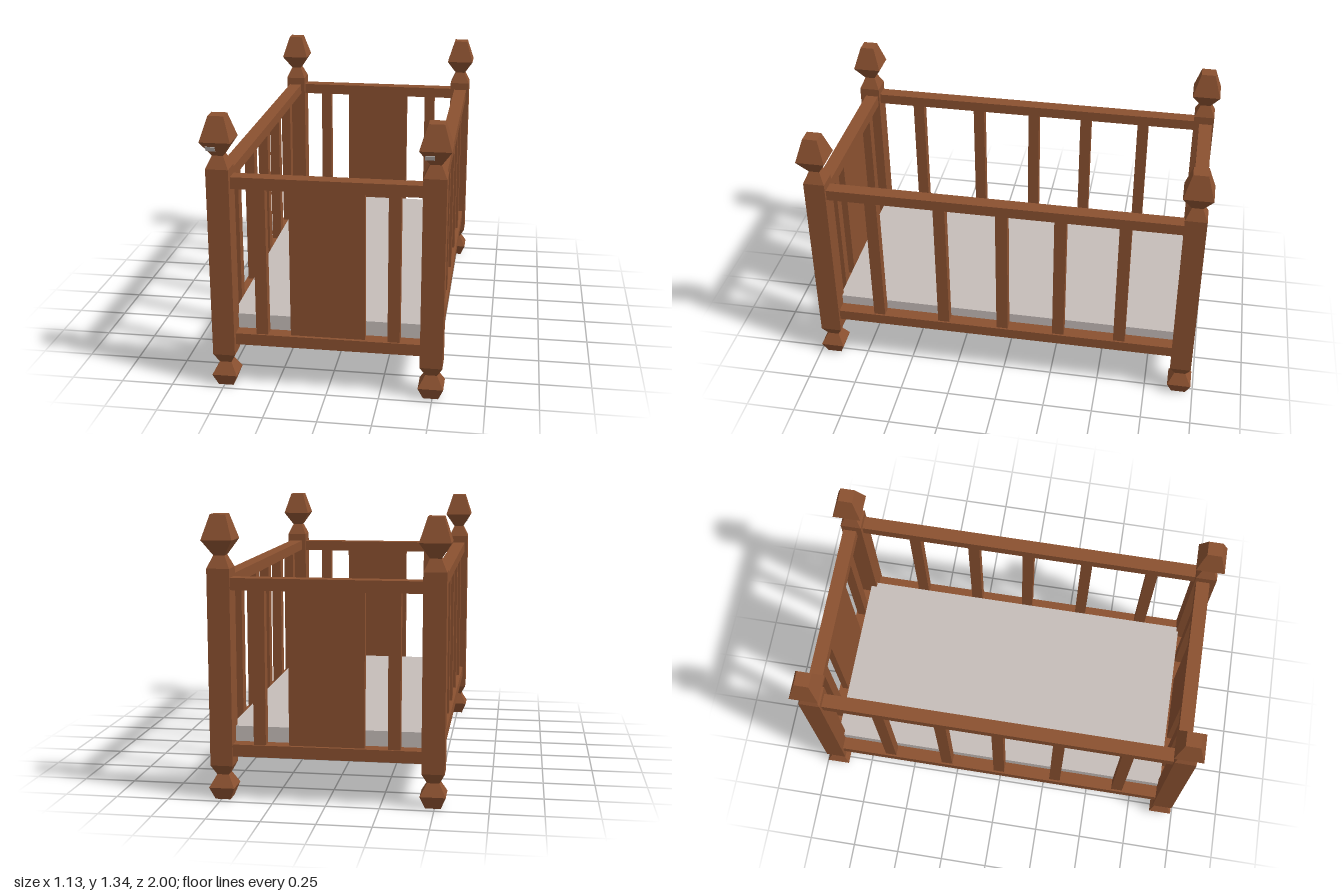
import * as THREE from 'three';

export function createModel() {
  const crib = new THREE.Group();
  crib.name = 'crib';

  const wood = new THREE.MeshStandardMaterial({ color: 0x8b5130 });
  wood.name = 'brown wood';
  const cloth = new THREE.MeshStandardMaterial({ color: 0xc6bdb9 });
  cloth.name = 'pale grey cloth';

  const add = (name, geometry, material, x, y, z) => {
    const mesh = new THREE.Mesh(geometry, material);
    mesh.name = name;
    mesh.position.set(x, y, z);
    crib.add(mesh);
    return mesh;
  };
  // Box given by its centre in x and z and its bottom and top in y
  const box = (name, w, d, x, z, y0, y1, material = wood) =>
    add(name, new THREE.BoxGeometry(w, y1 - y0, d), material, x, (y0 + y1) / 2, z);

  // Square turned post: [half width, height], from foot to finial
  const profile = [
    [0, 0], [0.036, 0], [0.06, 0.06], [0.028, 0.118], [0.053, 0.166], [0.053, 1.09],
    [0.026, 1.148], [0.072, 1.22], [0.036, 1.335], [0, 1.335],
  ].map(([w, y]) => new THREE.Vector2(w * Math.SQRT2, y));
  const postGeometry = new THREE.LatheGeometry(profile, 4, Math.PI / 4).toNonIndexed();
  postGeometry.computeVertexNormals();

  const postX = 0.493, postZ = 0.928;
  for (const sx of [-1, 1]) {
    for (const sz of [-1, 1]) {
      add('cornerPost', postGeometry, wood, sx * postX, 0, sz * postZ);
    }
    // Small pale inlay under each front finial
    const inlay = add('finialInlay', new THREE.BoxGeometry(0.044, 0.028, 0.004), cloth,
      sx * postX - 0.026, 1.186, postZ + 0.0505);
    inlay.rotation.x = Math.atan2(0.046, 0.072);
  }

  // Head and foot ends: two rails, a centre panel and two spindles
  for (const z of [-0.938, 0.917]) {
    box('endLowerRail', 0.92, 0.069, 0, z, 0.212, 0.269);
    box('endUpperRail', 0.92, 0.069, 0, z, 0.992, 1.048);
    box('endPanel', 0.353, 0.035, 0, z, 0.26, 1.0);
    for (const x of [-0.313, 0.313]) box('endSpindle', 0.057, 0.05, x, z, 0.26, 1.0);
  }

  // Long sides: two rails and five spindles
  for (const x of [-0.496, 0.496]) {
    box('sideLowerRail', 0.069, 1.8, x, 0, 0.235, 0.29);
    box('sideUpperRail', 0.069, 1.8, x, 0, 0.996, 1.05);
    for (const z of [0.658, 0.313, 0.003, -0.288, -0.603]) {
      box('sideSpindle', 0.05, 0.059, x, z, 0.28, 1.0);
    }
  }

  // Mattress
  box('mattress', 0.93, 1.79, 0, -0.011, 0.245, 0.342, cloth);

  return crib;
}
